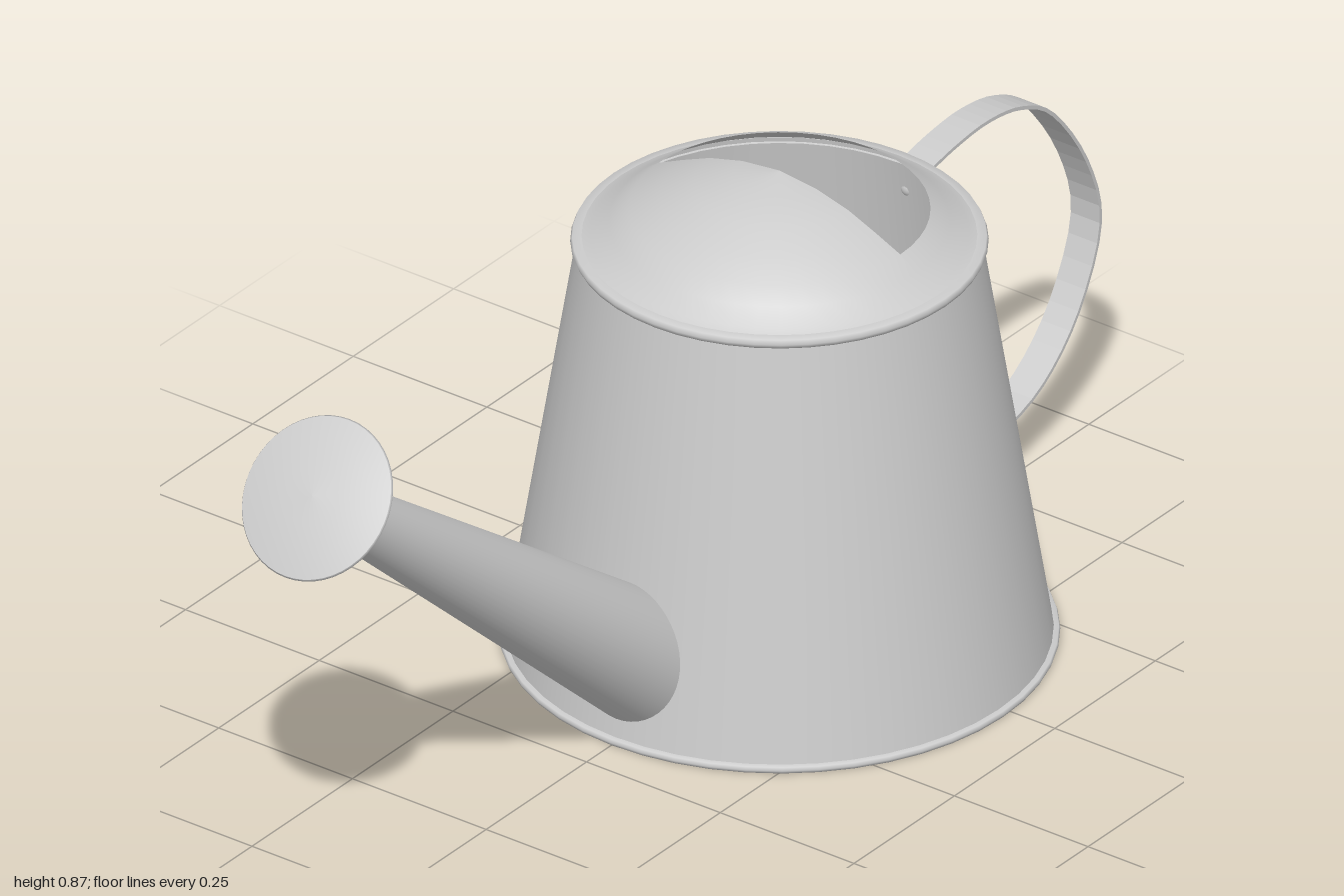
import * as THREE from 'three';

const SIDES = 48;
const CENTER_Z = -0.23; // axis of the body
const wallRadius = (y) => 0.412 - 0.16 * y; // tapered wall

const material = new THREE.MeshStandardMaterial({ color: 0xcccccc, side: THREE.DoubleSide });

function add(parent, name, geometry) {
  const mesh = new THREE.Mesh(geometry, material);
  mesh.name = name;
  parent.add(mesh);
  return mesh;
}

function lathe(points, start = 0, length = Math.PI * 2, sides = SIDES) {
  return new THREE.LatheGeometry(points.map(([r, y]) => new THREE.Vector2(r, y)), sides, start, length);
}

function createBody() {
  const body = new THREE.Group();
  body.name = 'body';
  body.position.z = CENTER_Z;
  add(body, 'wall', lathe([[wallRadius(0), 0], [wallRadius(0.68), 0.68]]));
  add(body, 'floor', new THREE.CircleGeometry(0.418, SIDES).rotateX(Math.PI / 2));
  add(body, 'baseRim', lathe([[0.41, 0], [0.418, 0], [0.42, 0.005], [0.418, 0.01], [0.408, 0.011]]));
  add(body, 'topRim', lathe([[0.3, 0.672], [0.31, 0.673], [0.313, 0.68], [0.31, 0.687], [0.296, 0.688]]));

  // The lid is a full half dome in front and only a sloped collar behind
  const collar = [[0.304, 0.684], [0.284, 0.692], [0.255, 0.713], [0.226, 0.734]];
  const dome = [...collar, [0.18, 0.755], [0.13, 0.776], [0.07, 0.792], [0, 0.8]];
  add(body, 'frontDome', lathe(dome, -Math.PI / 2, Math.PI, SIDES / 2));
  add(body, 'rearCollar', lathe(collar, Math.PI / 2, Math.PI, SIDES / 2));
  return body;
}

function createSpout() {
  const spout = new THREE.Group();
  spout.name = 'spout';
  const base = new THREE.Vector3(0, 0.155, 0.16);
  const tip = new THREE.Vector3(0, 0.695, 0.827);
  const length = base.distanceTo(tip);
  const tilt = Math.atan2(tip.z - base.z, tip.y - base.y);

  // Tapered tube, its lower ring slid along the sides to meet the body wall
  const tube = new THREE.CylinderGeometry(0.048, 0.096, length, SIDES, 1, true)
    .translate(0, length / 2, 0).rotateX(tilt).translate(0, base.y, base.z);
  const pos = tube.attributes.position;
  const upper = new THREE.Vector3(), lower = new THREE.Vector3(), p = new THREE.Vector3();
  for (let i = 0; i <= SIDES; i++) {
    upper.fromBufferAttribute(pos, i);
    lower.fromBufferAttribute(pos, i + SIDES + 1);
    let inside = -0.3, outside = 0.6;
    for (let k = 0; k < 25; k++) {
      const t = (inside + outside) / 2;
      p.lerpVectors(lower, upper, t);
      if (Math.hypot(p.x, p.z - CENTER_Z) > wallRadius(p.y)) outside = t;
      else inside = t;
    }
    pos.setXYZ(i + SIDES + 1, p.x, p.y, p.z);
  }
  add(spout, 'spoutTube', tube);

  // Flared sprinkler head with a slightly bulging face
  const rose = new THREE.Group();
  rose.name = 'rose';
  rose.position.copy(tip);
  rose.rotation.x = tilt;
  add(rose, 'roseFlare', lathe([[0.048, 0], [0.126, 0.118]]));
  add(rose, 'roseLip', lathe([[0.125, 0.116], [0.128, 0.119], [0.126, 0.122]]));
  add(rose, 'roseFace', lathe([[0.126, 0.122], [0.09, 0.129], [0.045, 0.134], [0, 0.136]]));
  spout.add(rose);
  return spout;
}

function createHandle() {
  const handle = new THREE.Group();
  handle.name = 'handle';
  const width = 0.054, thickness = 0.006;
  const onWall = (y) => new THREE.Vector2(CENTER_Z - wallRadius(y) - thickness / 2, y);

  // Side outline (z, y) of the strap: tab, loop, tab
  const loop = new THREE.SplineCurve([
    [-0.555, 0.646], [-0.63, 0.661], [-0.716, 0.667], [-0.8, 0.651], [-0.877, 0.603], [-0.96, 0.485],
    [-0.994, 0.362], [-0.94, 0.233], [-0.85, 0.147], [-0.743, 0.112], [-0.637, 0.114],
  ].map(([z, y]) => new THREE.Vector2(z, y))).getPoints(40);
  const path = [onWall(0.598), onWall(0.64), ...loop, onWall(0.104), onWall(0.014)];
  const offset = (side) => path.map((p, i) => {
    const a = path[Math.max(i - 1, 0)], b = path[Math.min(i + 1, path.length - 1)];
    const d = b.clone().sub(a).normalize();
    return new THREE.Vector2(p.x - d.y * side, p.y + d.x * side);
  });
  const outline = new THREE.Shape([...offset(thickness / 2), ...offset(-thickness / 2).reverse()]);
  const strap = new THREE.ExtrudeGeometry(outline, { depth: width, bevelEnabled: false })
    .translate(0, 0, -width / 2).rotateY(-Math.PI / 2);
  add(handle, 'strap', strap);

  // One rivet on each tab
  for (const y of [0.62, 0.055]) {
    const rivet = add(handle, 'rivet', new THREE.SphereGeometry(0.012, 16, 10));
    rivet.position.set(0, y, onWall(y).x - thickness / 2);
    rivet.scale.z = 0.7;
  }
  return handle;
}

export function createModel() {
  const model = new THREE.Group();
  model.name = 'wateringCan';
  model.add(createBody(), createSpout(), createHandle());
  return model;
}
